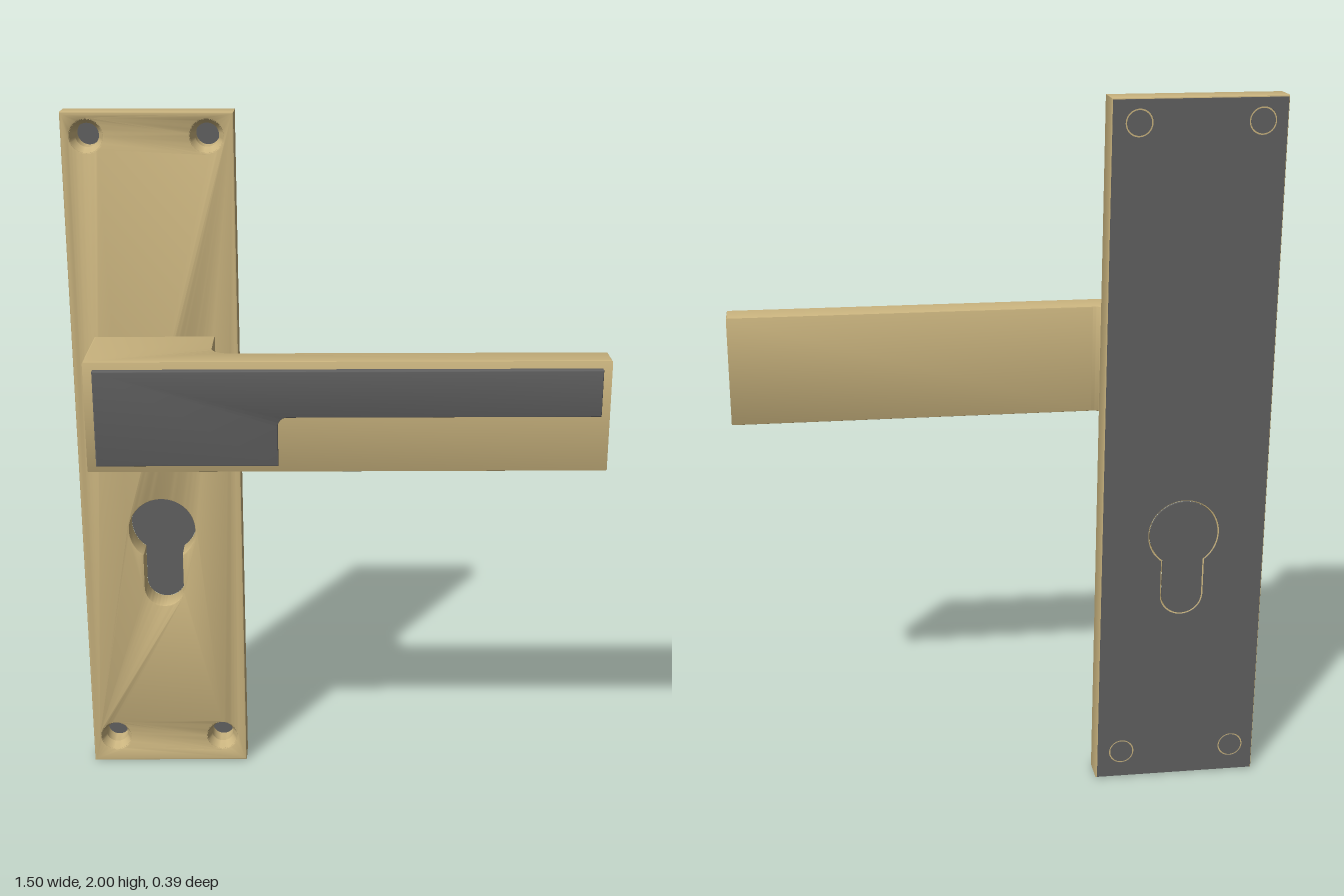
import * as THREE from 'three';
import { toCreasedNormals } from 'three/addons/utils/BufferGeometryUtils.js';

const brass = new THREE.MeshStandardMaterial({ color: 0xc9b37e });
brass.name = 'brass';
const graphite = new THREE.MeshStandardMaterial({ color: 0x616161 });
graphite.name = 'graphite';

const BACK = -0.195, FRONT = -0.11, CX = -0.5125;
const screws = [[-0.68, 1.935], [-0.35, 1.935], [-0.68, 0.085], [-0.35, 0.085]];

function rect(x0, y0, x1, y1) {
  return new THREE.Shape([[x0, y0], [x1, y0], [x1, y1], [x0, y1]].map(p => new THREE.Vector2(...p)));
}

function circle(x, y, r) {
  return new THREE.Shape().absarc(x, y, r, 0, Math.PI * 2, false);
}

// Euro-profile keyhole: round top with a round-ended slot below
function keyhole(grow = 0) {
  const r = 0.098 + grow, w = 0.058 + grow, a = Math.acos(w / r);
  const s = new THREE.Shape();
  s.absarc(CX, 0.775, r, -a, Math.PI + a, false);
  s.absarc(CX, 0.588, w, Math.PI, Math.PI * 2, false);
  s.closePath();
  return s;
}

// Extrusion whose bevel stays inside the outline and the given depth
function slab(shape, depth, bevel = 0) {
  const g = new THREE.ExtrudeGeometry(shape, {
    depth: depth - 2 * bevel, curveSegments: 24, bevelEnabled: bevel > 0,
    bevelThickness: bevel, bevelSize: bevel, bevelOffset: -bevel, bevelSegments: 2,
  });
  g.translate(0, 0, bevel);
  return toCreasedNormals(g, 0.5);
}

export function createModel() {
  const model = new THREE.Group();
  const add = (name, geometry, material, z = 0, parent = model) => {
    const mesh = new THREE.Mesh(geometry, material);
    mesh.name = name;
    mesh.position.z = z;
    parent.add(mesh);
    return mesh;
  };

  // Back plate with keyhole and screw holes
  const plate = rect(-0.75, 0, -0.275, 2);
  plate.holes.push(keyhole(), ...screws.map(([x, y]) => circle(x, y, 0.046)));
  add('backPlate', slab(plate, FRONT - BACK - 0.003, 0.005), brass, BACK + 0.003);

  // Dark backing sheet, leaving a fine brass line round each opening
  const sheet = rect(-0.746, 0.004, -0.279, 1.996);
  sheet.holes.push(keyhole(0.005), ...screws.map(([x, y]) => circle(x, y, 0.037)));
  add('backingSheet', slab(sheet, 0.007), graphite, BACK);
  add('keyholeBacking', slab(keyhole(), 0.007), graphite, BACK);

  // Countersunk screw seats
  const seat = new THREE.LatheGeometry([
    [0.033, 0.002], [0.033, 0.055], [0.046, 0.081], [0.048, 0.081], [0.048, 0.002], [0.033, 0.002],
  ].reverse().map(p => new THREE.Vector2(...p)), 32);
  seat.rotateX(Math.PI / 2);
  const seatGeometry = toCreasedNormals(seat, 0.4);
  const seatMaterial = brass.clone();
  seatMaterial.name = 'brassSeat';
  seatMaterial.side = THREE.DoubleSide;
  for (const [x, y] of screws) {
    const hole = new THREE.Group();
    hole.name = 'screwHole';
    hole.position.set(x, y, BACK);
    model.add(hole);
    add('countersink', seatGeometry, seatMaterial, 0, hole);
    add('screwHoleBacking', slab(circle(0, 0, 0.033), 0.007), graphite, 0, hole);
  }

  // Neck between plate and handle
  const neck = new THREE.CylinderGeometry(0.088, 0.088, 0.04, 48);
  neck.rotateX(Math.PI / 2);
  add('neck', neck, graphite, -0.1).position.set(CX, 1.22, -0.1);

  // Handle: block and lever as one L-shaped plan, extruded vertically
  const plan = new THREE.Shape();
  plan.moveTo(-0.682, -0.092);
  plan.lineTo(-0.34, -0.092);
  plan.lineTo(-0.34, 0.035);
  plan.absarc(-0.29, 0.035, 0.05, Math.PI, Math.PI / 2, true);
  plan.lineTo(0.748, 0.085);
  plan.lineTo(0.748, 0.172);
  plan.lineTo(-0.682, 0.172);
  plan.closePath();
  const handle = slab(plan, 0.316, 0.005);
  handle.rotateX(Math.PI / 2);
  handle.translate(0, 1.376, 0);
  add('handle', handle, brass);

  // Raised dark inlay on the handle face
  const inlay = new THREE.Shape();
  inlay.moveTo(-0.655, 1.085);
  inlay.lineTo(-0.157, 1.085);
  inlay.lineTo(-0.157, 1.198);
  inlay.absarc(-0.132, 1.198, 0.025, Math.PI, Math.PI / 2, true);
  inlay.lineTo(0.722, 1.223);
  inlay.lineTo(0.722, 1.354);
  inlay.lineTo(-0.655, 1.354);
  inlay.closePath();
  add('handleInlay', slab(inlay, 0.03, 0.003), graphite, 0.163);

  return model;
}
